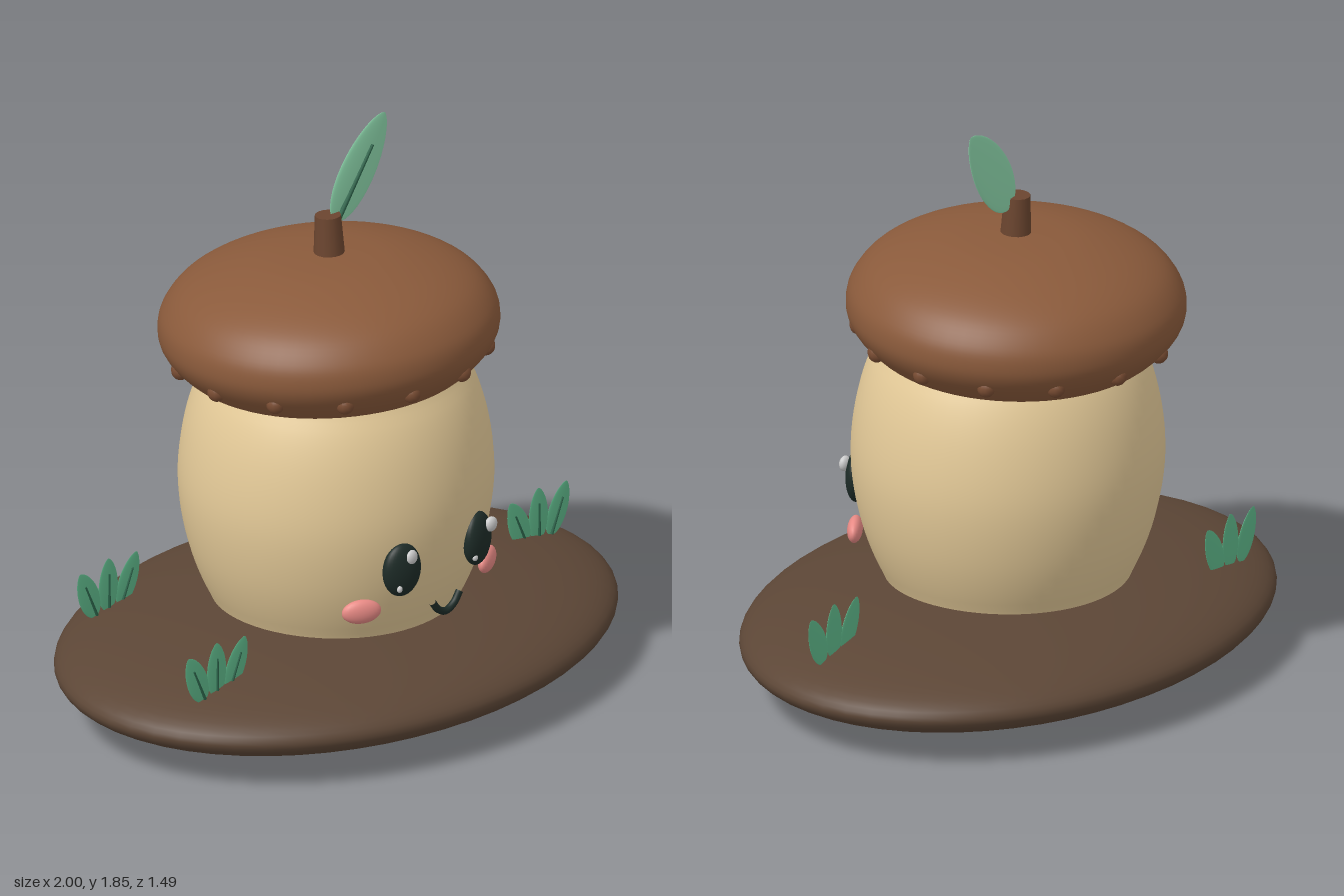
import * as THREE from 'three';

const DEPTH = 0.965; // body and cap are slightly flattened front to back

function mat(color, side = THREE.FrontSide) {
  return new THREE.MeshStandardMaterial({ color, side });
}

const MATS = {
  soil: mat(0x5c4636), shell: mat(0xe4ca98), cap: mat(0x8a5a3b), bump: mat(0x7a4d33),
  stem: mat(0x6b452f), leaf: mat(0x8fd9ae), grass: mat(0x5fb98b), vein: mat(0x2a6148),
  dark: mat(0x1d2b27), white: mat(0xffffff), cheek: mat(0xe88a85),
};

function add(parent, name, geometry, material, x = 0, y = 0, z = 0) {
  const mesh = new THREE.Mesh(geometry, material);
  mesh.name = name;
  mesh.position.set(x, y, z);
  parent.add(mesh);
  return mesh;
}

function ellipsoid(parent, name, material, [x, y, z], [rx, ry, rz], seg = 24) {
  const mesh = add(parent, name, new THREE.SphereGeometry(1, seg, Math.ceil(seg * 0.67)), material, x, y, z);
  mesh.scale.set(rx, ry, rz);
  return mesh;
}

// Smooth turned form from a few profile points, listed bottom to top
function turned(points) {
  const curve = new THREE.SplineCurve(points.map(([r, y]) => new THREE.Vector2(r, y)));
  const profile = curve.getPoints(48);
  profile.forEach((p) => { p.x = Math.max(p.x, 0); });
  return new THREE.LatheGeometry(profile, 64).scale(1, 1, DEPTH);
}

// Thin leaf lens growing up from the origin: round base, pointed tip
function leafGeometry(length, halfWidth, halfThick) {
  const geo = new THREE.SphereGeometry(1, 24, 20);
  const pos = geo.attributes.position;
  for (let i = 0; i < pos.count; i++) {
    const t = (pos.getY(i) + 1) / 2;
    const ring = Math.hypot(pos.getX(i), pos.getZ(i)) || 1;
    const width = 1.62 * Math.pow(t, 0.5) * Math.pow(1 - t, 0.65);
    pos.setXYZ(i,
      (pos.getX(i) / ring) * width * halfWidth,
      t * length,
      (pos.getZ(i) / ring) * width * halfThick);
  }
  geo.computeVertexNormals();
  return geo;
}

function veinedLeaf(parent, name, material, length, halfWidth, halfThick, veinRadius) {
  const leaf = new THREE.Group();
  leaf.name = name;
  add(leaf, 'blade', leafGeometry(length, halfWidth, halfThick), material);
  const vein = new THREE.CylinderGeometry(veinRadius * 0.6, veinRadius, length * 0.68, 8);
  add(leaf, 'vein', vein, MATS.vein, 0, length * 0.37, halfThick);
  parent.add(leaf);
  return leaf;
}

function buildCap() {
  const cap = new THREE.Group();
  cap.name = 'cap';
  cap.position.set(0, 1.05, -0.024);
  cap.rotation.x = -0.045;
  add(cap, 'capDome', turned([
    [0.36, 0.015], [0.425, 0.008], [0.485, 0.05], [0.53, 0.105], [0.545, 0.16],
    [0.53, 0.225], [0.47, 0.295], [0.36, 0.35], [0.2, 0.39], [0, 0.403],
  ]), MATS.cap);
  // Ring of studs under the widest line
  for (let i = 0; i < 14; i++) {
    const a = (i / 14) * Math.PI * 2;
    ellipsoid(cap, 'capStud', MATS.bump,
      [Math.cos(a) * 0.5, 0.083, Math.sin(a) * 0.5 * DEPTH], [0.03, 0.032, 0.03], 12);
  }
  add(cap, 'stem', new THREE.CylinderGeometry(0.041, 0.051, 0.16, 16), MATS.stem, 0, 0.445, 0.012);
  return cap;
}

function buildFace() {
  const face = new THREE.Group();
  face.name = 'face';
  for (const s of [-1, 1]) {
    const eye = ellipsoid(face, 'eye', MATS.dark, [s * 0.167, 0.57, 0.455], [0.067, 0.089, 0.034], 32);
    eye.rotation.y = s * 0.25;
    const shineX = s < 0 ? -0.15 : 0.203;
    ellipsoid(face, 'eyeShine', MATS.white, [shineX, 0.614, 0.48], [0.024, 0.025, 0.015], 16);
    ellipsoid(face, 'eyeGlint', MATS.white, [s * 0.167 - 0.036, 0.522, 0.482], [0.01, 0.011, 0.008], 12);
    const cheek = ellipsoid(face, 'cheek', MATS.cheek, [s * 0.278, 0.44, 0.388], [0.064, 0.04, 0.024]);
    cheek.rotation.y = s * 0.5;
  }
  const smile = new THREE.CatmullRomCurve3([
    [-0.06, 0.433], [-0.035, 0.4], [0, 0.384], [0.035, 0.4], [0.06, 0.433],
  ].map(([x, y]) => new THREE.Vector3(x, y, 0.483)));
  add(face, 'mouth', new THREE.TubeGeometry(smile, 24, 0.012, 10), MATS.dark);
  return face;
}

function buildGrass(x, y, z) {
  const tuft = new THREE.Group();
  tuft.name = 'grassTuft';
  tuft.position.set(x, y, z);
  for (const s of [-1, 0, 1]) {
    const blade = veinedLeaf(tuft, 'grassLeaf', MATS.grass, 0.18, 0.058, 0.005, 0.005);
    blade.position.x = s * 0.052;
    blade.rotation.z = -s * 0.42;
  }
  return tuft;
}

export function createModel() {
  const model = new THREE.Group();
  model.name = 'acornHouse';

  // Oval mound of earth
  ellipsoid(model, 'ground', MATS.soil, [0, 0.165, 0], [1, 0.165, 0.745], 56);

  // Barrel-shaped nut
  add(model, 'body', turned([
    [0, 0.2], [0.32, 0.21], [0.405, 0.325], [0.473, 0.5], [0.503, 0.7],
    [0.482, 0.9], [0.425, 1.06], [0.34, 1.15], [0, 1.2],
  ]), MATS.shell);

  model.add(buildCap(), buildFace());

  // Leaf on the stem, leaning to one side
  const topLeaf = veinedLeaf(model, 'topLeaf', MATS.leaf, 0.375, 0.112, 0.011, 0.008);
  topLeaf.position.set(0.028, 1.545, -0.033);
  topLeaf.rotation.z = -0.63;

  // Three tufts around the mound
  for (const [x, y, z] of [[-0.53, 0.245, -0.475], [-0.74, 0.245, 0.21], [0.79, 0.245, 0.105]]) {
    model.add(buildGrass(x, y, z));
  }
  return model;
}
